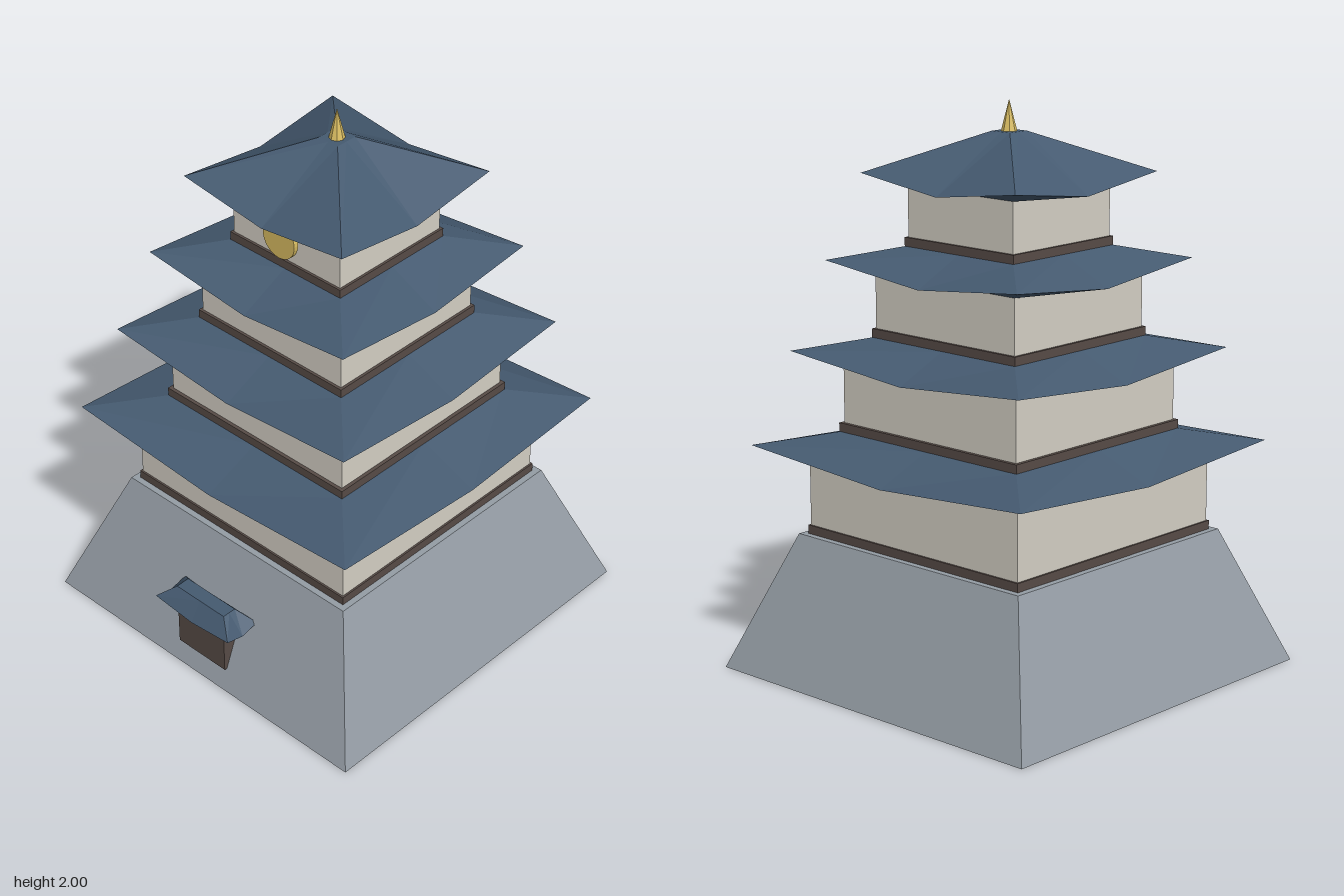
import * as THREE from 'three';

const mat = (color) => new THREE.MeshStandardMaterial({ color, flatShading: true });
const stone = mat(0x959da5), plaster = mat(0xd6d1c6), timber = mat(0x584c47);
const tile = mat(0x455a70), gold = mat(0xd9bd62);

function add(parent, name, geometry, material, x = 0, y = 0, z = 0) {
  const mesh = new THREE.Mesh(geometry, material);
  mesh.name = name;
  mesh.position.set(x, y, z);
  parent.add(mesh);
  return mesh;
}

// Box standing between two heights
function slab(parent, name, w, y0, y1, d, material, z = 0) {
  return add(parent, name, new THREE.BoxGeometry(w, y1 - y0, d), material, 0, (y0 + y1) / 2, z);
}

// Hipped roof: eight-point rings, with the eave corners lifted above the eave middles
const AROUND = [[1, 1], [1, 0], [1, -1], [0, -1], [-1, -1], [-1, 0], [-1, 1], [0, 1]];
function roofGeometry({ eave, under, top, low, lift, high }) {
  const ring = ([hx, hz], y, rise = 0) =>
    AROUND.map(([x, z]) => [x * hx, y + (x && z ? rise : 0), z * hz]);
  const rings = [
    ring([0, 0], low), ring(under, low), ring(eave, low, lift),
    ring(top, high), ring([0, 0], high),
  ];
  const pos = [];
  for (let r = 0; r < rings.length - 1; r++) {
    const a = rings[r], b = rings[r + 1];
    for (let i = 0; i < 8; i++) {
      const j = (i + 1) % 8;
      if (r > 0) pos.push(...a[i], ...a[j], ...b[j]);
      if (r < rings.length - 2) pos.push(...a[i], ...b[j], ...b[i]);
    }
  }
  const g = new THREE.BufferGeometry();
  g.setAttribute('position', new THREE.Float32BufferAttribute(pos, 3));
  g.computeVertexNormals();
  return g;
}

export function createModel() {
  const model = new THREE.Group();
  model.name = 'castleTower';
  const tower = new THREE.Group();
  tower.name = 'tower';
  tower.position.z = -0.0125;
  model.add(tower);

  // Sloping stone base
  const base = new THREE.CylinderGeometry(0.518 * Math.SQRT2, 0.707 * Math.SQRT2, 0.487, 4);
  base.rotateY(Math.PI / 4);
  add(tower, 'stoneBase', base, stone, 0, 0.2435, 0);

  // Storeys: timber sill, plaster walls and flared roof
  const storeys = [
    { sill: 0.495, wall: 0.488, y: 0.487, low: 0.765, eave: 0.63, lift: 0.042, top: 0.41, high: 0.853 },
    { sill: 0.415, wall: 0.402, y: 0.853, low: 1.095, eave: 0.531, lift: 0.044, top: 0.33, high: 1.184 },
    { sill: 0.332, wall: 0.322, y: 1.184, low: 1.408, eave: 0.443, lift: 0.046, top: 0.25, high: 1.5 },
    { sill: 0.251, wall: 0.242, y: 1.5, low: 1.706, eave: 0.355, lift: 0.046, top: 0.042, high: 1.892 },
  ];
  storeys.forEach((s, i) => {
    const storey = new THREE.Group();
    storey.name = `storey${i + 1}`;
    tower.add(storey);
    slab(storey, 'sill', s.sill * 2, s.y, s.y + 0.031, s.sill * 2, timber);
    slab(storey, 'walls', s.wall * 2, s.y + 0.031, s.low, s.wall * 2, plaster);
    add(storey, 'roof', roofGeometry({
      eave: [s.eave, s.eave], under: [s.wall, s.wall], top: [s.top, s.top],
      low: s.low, lift: s.lift, high: s.high,
    }), tile);
  });

  // Gold finial and round emblem on the top storey
  add(tower, 'finial', new THREE.ConeGeometry(0.028, 0.11, 8), gold, 0, 1.945, 0);
  const disc = new THREE.CylinderGeometry(0.071, 0.071, 0.018, 32);
  disc.rotateX(Math.PI / 2);
  add(model, 'roundEmblem', disc, gold, 0, 1.625, 0.255);

  // Gate with its own small roof
  const gate = new THREE.Group();
  gate.name = 'gate';
  gate.position.z = 0.648;
  model.add(gate);
  slab(gate, 'gateDoor', 0.226, 0.075, 0.246, 0.056, timber);
  add(gate, 'gateRoof', roofGeometry({
    eave: [0.178, 0.072], under: [0.113, 0.028], top: [0.115, 0.027],
    low: 0.255, lift: 0.017, high: 0.325,
  }), tile);

  return model;
}
